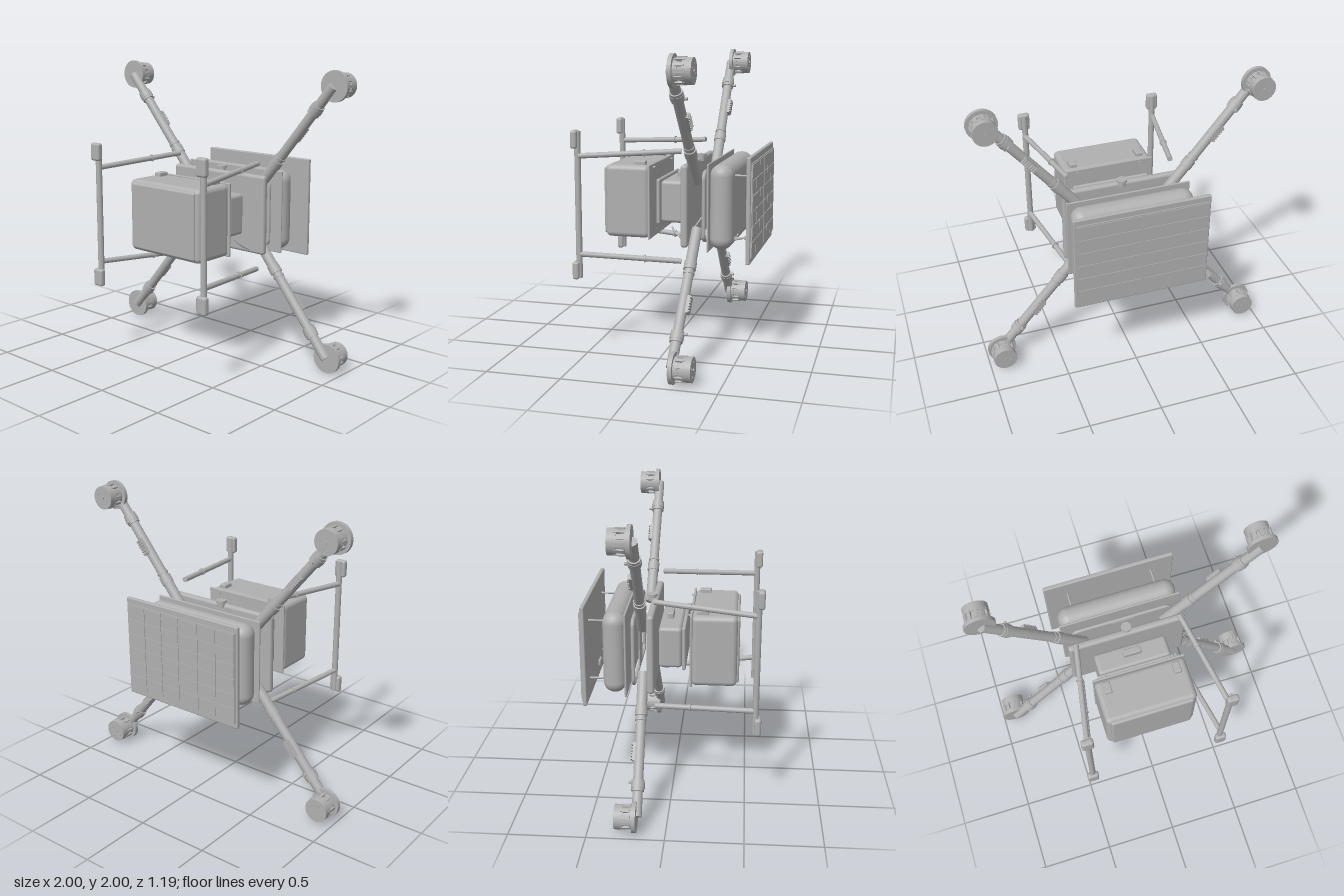
import * as THREE from 'three';
import { RoundedBoxGeometry } from 'three/addons/geometries/RoundedBoxGeometry.js';

const grey = new THREE.MeshStandardMaterial({ color: 0xb0b0b0 });
const V = (x, y, z) => new THREE.Vector3(x, y, z);
const UP = V(0, 1, 0);

function add(parent, name, geometry, x = 0, y = 0, z = 0) {
  const mesh = new THREE.Mesh(geometry, grey);
  mesh.name = name;
  mesh.position.set(x, y, z);
  parent.add(mesh);
  return mesh;
}
const box = (p, name, w, h, d, x, y, z) => add(p, name, new THREE.BoxGeometry(w, h, d), x, y, z);
const rbox = (p, name, w, h, d, r, x, y, z) => add(p, name, new RoundedBoxGeometry(w, h, d, 5, r), x, y, z);

// Straight round bar between two points
function rod(p, name, a, b, r, sides = 20) {
  const mesh = add(p, name, new THREE.CylinderGeometry(r, r, a.distanceTo(b), sides));
  mesh.position.copy(a).add(b).multiplyScalar(0.5);
  mesh.quaternion.setFromUnitVectors(UP, b.clone().sub(a).normalize());
  return mesh;
}

function cable(p, name, points, r = 0.006) {
  const curve = new THREE.CatmullRomCurve3(points);
  return add(p, name, new THREE.TubeGeometry(curve, 20, r, 8));
}

// Round-section seal following a rounded rectangle
function seal(p, name, w, h, r, corner, z) {
  const pts = [];
  for (let c = 0; c < 4; c++) {
    const sx = c === 0 || c === 3 ? 1 : -1, sy = c < 2 ? 1 : -1;
    for (let i = 0; i <= 5; i++) {
      const a = (c + i / 5) * Math.PI / 2;
      pts.push(V(sx * (w / 2 - corner) + corner * Math.cos(a), sy * (h / 2 - corner) + corner * Math.sin(a), 0));
    }
  }
  const path = new THREE.CurvePath();
  pts.forEach((q, i) => path.add(new THREE.LineCurve3(q, pts[(i + 1) % pts.length])));
  return add(p, name, new THREE.TubeGeometry(path, 160, r, 10, true), 0, 0, z);
}

// Motor with its axis along local +y
function makeMotor() {
  const g = new THREE.Group();
  g.name = 'motor';
  const disc = (name, r, y0, y1) =>
    add(g, name, new THREE.CylinderGeometry(r, r, y1 - y0, 40), 0, (y0 + y1) / 2, 0);
  disc('motorMount', 0.1, 0, 0.026);
  disc('motorBase', 0.075, 0.026, 0.052);
  disc('motorCore', 0.07, 0.05, 0.085);
  disc('motorBell', 0.08, 0.082, 0.139);
  disc('motorShaft', 0.01, 0.139, 0.145);
  for (let i = 0; i < 12; i++) {
    const a = i * Math.PI / 6;
    const rib = box(g, 'motorRib', 0.018, 0.06, 0.02, 0.074 * Math.cos(a), 0.067, 0.074 * Math.sin(a));
    rib.rotation.y = -a;
  }
  for (let i = 0; i < 4; i++) {
    const a = i * Math.PI / 2 + 0.4;
    add(g, 'motorScrew', new THREE.CylinderGeometry(0.006, 0.006, 0.006, 10),
      0.045 * Math.cos(a), 0.14, 0.045 * Math.sin(a));
  }
  return g;
}

function makeArm(sx, sy) {
  const g = new THREE.Group();
  g.name = 'armAssembly';
  const inner = V(sx * 0.28, sy * 0.16, -0.2), outer = V(sx * 0.895, sy * 0.9, -0.186);
  const at = t => inner.clone().lerp(outer, t);
  rod(g, 'arm', inner, outer, 0.033, 24);
  rod(g, 'armRoot', at(0), at(0.27), 0.036, 24);
  rod(g, 'foldingCollar', at(0.25), at(0.31), 0.041, 24);
  rod(g, 'foldingCollar', at(0.33), at(0.345), 0.038, 24);
  rod(g, 'outerCollar', at(0.755), at(0.83), 0.042, 24);
  rod(g, 'outerCollarLip', at(0.775), at(0.81), 0.045, 24);

  // Finned speed controller riding on the arm
  const angle = Math.atan2(outer.y - inner.y, outer.x - inner.x) - Math.PI / 2;
  const esc = new THREE.Group();
  esc.name = 'speedController';
  esc.position.copy(at(0.565));
  esc.rotation.z = angle;
  box(esc, 'controllerBody', 0.045, 0.12, 0.02, 0, 0, -0.034);
  for (let i = 0; i < 6; i++) box(esc, 'coolingFin', 0.045, 0.01, 0.012, 0, (i - 2.5) * 0.019, -0.047);
  g.add(esc);
  const stud = at(0.77);
  rod(g, 'lockStud', stud, stud.clone().add(V(0, 0, -0.062)), 0.01, 14);

  const motor = makeMotor();
  motor.position.set(sx * 0.9, sy * 0.9, -0.186);
  motor.rotation.x = -Math.PI / 2;
  g.add(motor);
  return g;
}

function makeSkid(sx) {
  const g = new THREE.Group();
  g.name = 'landingSkid';
  rod(g, 'skidTube', V(sx * 0.475, -0.49, 0.557), V(sx * 0.475, 0.49, 0.557), 0.021);
  for (const sy of [-1, 1]) {
    rbox(g, 'skidFoot', 0.08, 0.12, 0.045, 0.016, sx * 0.478, sy * 0.437, 0.573);
    const a = V(sx * 0.478, sy * 0.328, 0.55), b = V(sx * 0.358, sy * 0.365, -0.112);
    rod(g, 'legStrut', a, b, 0.018);
    rod(g, 'strutClip', a.clone().lerp(b, 0.635), a.clone().lerp(b, 0.648), 0.025);
  }
  return g;
}

function makeSolarPanel() {
  const g = new THREE.Group();
  g.name = 'solarPanel';
  rbox(g, 'panelFrame', 0.92, 0.69, 0.028, 0.008, 0, 0.005, -0.572);
  box(g, 'panelBacking', 0.89, 0.61, 0.008, 0, 0.005, -0.589);
  // Thin cells in two banks
  for (const side of [-1, 1])
    for (let c = 0; c < 3; c++)
      for (let r = 0; r < 6; r++)
        box(g, 'solarCell', 0.138, 0.093, 0.004,
          side * (0.08 + c * 0.144), (r - 2.5) * 0.1 + 0.005, -0.595);
  for (const sx of [-1, 1])
    for (const sy of [-1, 1])
      rod(g, 'standoff', V(sx * 0.3, sy * 0.205 + 0.005, -0.44), V(sx * 0.3, sy * 0.205 + 0.005, -0.56), 0.007, 12);
  rbox(g, 'connector', 0.075, 0.04, 0.016, 0.005, 0, -0.2, -0.534);
  cable(g, 'panelCable', [V(0.23, -0.2, -0.56), V(0.26, -0.2, -0.52), V(0.3, -0.205, -0.5), V(0.32, -0.21, -0.445)]);
  return g;
}

export function createModel() {
  const model = new THREE.Group();
  model.name = 'quadcopter';
  const drone = new THREE.Group();
  drone.name = 'explodedAssembly';
  drone.position.y = 1;
  model.add(drone);

  for (const sx of [-1, 1]) {
    for (const sy of [-1, 1]) drone.add(makeArm(sx, sy));
    drone.add(makeSkid(sx));
  }
  drone.add(makeSolarPanel());

  // Rounded top shell with its flange and seal
  rbox(drone, 'topShell', 0.835, 0.56, 0.155, 0.075, 0, 0.008, -0.38);
  rbox(drone, 'shellFlange', 0.85, 0.575, 0.014, 0.006, 0, 0.007, -0.302);
  for (const sx of [-1, 1])
    for (const sy of [-1, 1])
      rod(drone, 'shellScrew', V(sx * 0.22, sy * 0.2, -0.45), V(sx * 0.22, sy * 0.2, -0.467), 0.01, 12);
  seal(drone, 'shellSeal', 0.69, 0.455, 0.013, 0.04, -0.259);
  box(drone, 'sealTab', 0.16, 0.43, 0.008, 0, 0.008, -0.248);

  // Main body tray with the round button on its top edge
  rbox(drone, 'bodyTray', 0.82, 0.545, 0.048, 0.02, 0, 0.008, -0.14);
  rod(drone, 'powerButton', V(0, 0.26, -0.162), V(0, 0.295, -0.162), 0.026, 28);
  rod(drone, 'buttonCap', V(0, 0.293, -0.162), V(0, 0.308, -0.162), 0.035, 28);

  // Loose wiring
  cable(drone, 'batteryCable', [V(0.24, -0.16, -0.02), V(0.26, -0.19, -0.04), V(0.28, -0.225, -0.09), V(0.3, -0.24, -0.125)]);
  cable(drone, 'bodyCable', [V(0.27, -0.17, -0.165), V(0.25, -0.13, -0.195), V(0.23, -0.09, -0.22)]);

  // Battery with its latch and seal
  rbox(drone, 'battery', 0.51, 0.285, 0.155, 0.025, 0, 0.008, -0.02);
  rbox(drone, 'batteryLatch', 0.125, 0.055, 0.045, 0.008, 0, 0.165, -0.032);
  rbox(drone, 'batterySeal', 0.54, 0.305, 0.026, 0.012, 0, 0.008, 0.072);

  // Cargo box, flange, front cover and latches
  rbox(drone, 'cargoFlange', 0.64, 0.5, 0.016, 0.006, 0, 0.008, 0.122);
  rbox(drone, 'cargoBox', 0.63, 0.49, 0.305, 0.035, 0, 0.008, 0.276);
  rbox(drone, 'cargoCover', 0.57, 0.45, 0.05, 0.014, 0, 0.008, 0.418);
  for (const sx of [-1, 1]) {
    rbox(drone, 'cargoLatch', 0.05, 0.04, 0.078, 0.008, sx * 0.24, 0.26, 0.197);
    rod(drone, 'hingePin', V(sx * 0.225, 0.235, 0.1), V(sx * 0.225, 0.235, 0.125), 0.008, 12);
  }
  return model;
}
